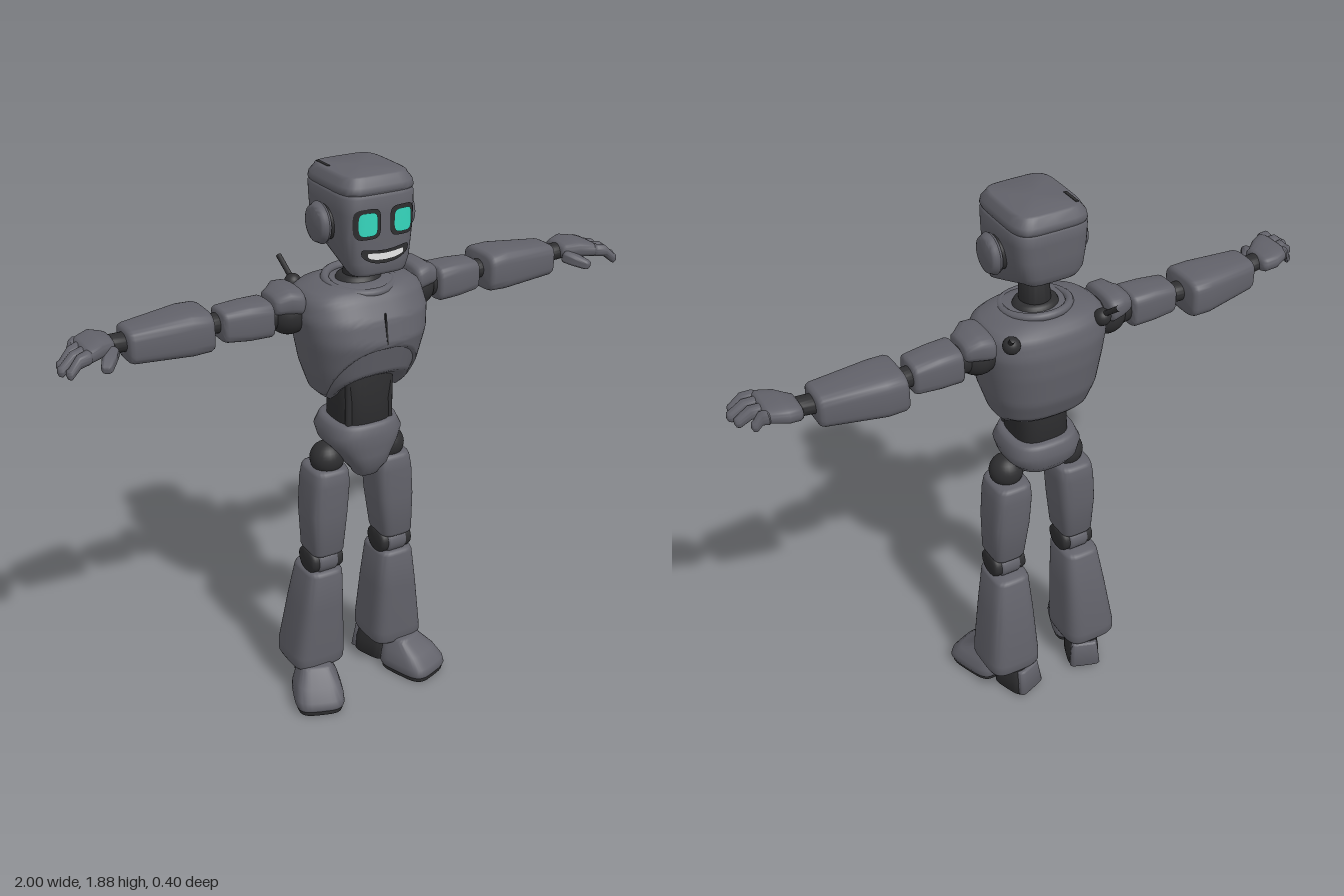
import * as THREE from 'three';
import { toCreasedNormals } from 'three/addons/utils/BufferGeometryUtils.js';

const mat = (name, color) => Object.assign(new THREE.MeshStandardMaterial({ color }), { name });

// Closed skin over a grid of rings; point(i, phi) gives ring i at angle phi, phi = 0 facing the front
function skin(rings, point, flip = false, segs = 36) {
  const pos = [], idx = [];
  for (let i = 0; i < rings; i++)
    for (let j = 0; j < segs; j++) pos.push(...point(i, (j / segs) * Math.PI * 2));
  const tri = (a, b, c) => (flip ? idx.push(a, c, b) : idx.push(a, b, c));
  for (let i = 0; i < rings - 1; i++)
    for (let j = 0; j < segs; j++) {
      const k = (j + 1) % segs, a = i * segs + j, b = i * segs + k;
      tri(a, b, b + segs);
      tri(a, b + segs, a + segs);
    }
  for (const end of [0, rings - 1]) {
    const c = [0, 0, 0];
    for (let j = 0; j < segs; j++)
      for (let k = 0; k < 3; k++) c[k] += pos[(end * segs + j) * 3 + k] / segs;
    const n = pos.length / 3;
    pos.push(...c);
    for (let j = 0; j < segs; j++) {
      const a = end * segs + j, b = end * segs + (j + 1) % segs;
      end ? tri(n, a, b) : tri(n, b, a);
    }
  }
  const g = new THREE.BufferGeometry();
  g.setAttribute('position', new THREE.Float32BufferAttribute(pos, 3));
  g.setIndex(idx);
  return toCreasedNormals(g, 0.9);
}

const power = (v, n) => Math.sign(v) * Math.abs(v) ** (2 / n);

// Rounded loft; rows are [t, centreU, centreV, halfU, halfV] along y (u = x) or along x (u = y)
function loft(rows, { axis = 'y', n = 4, bevel = 0.015, warp = p => p } = {}) {
  const round = (r, dir) => [[0, 1], [0.3, 0.3], [1, 0]].map(([d, s]) =>
    [r[0] + dir * d * bevel, r[1], r[2], r[3] - s * bevel, r[4] - s * bevel]);
  const all = [...round(rows[0], 1), ...rows.slice(1, -1), ...round(rows[rows.length - 1], -1).reverse()];
  return skin(all.length, (i, phi) => {
    const [t, cu, cv, hu, hv] = all[i];
    const u = cu + hu * power(Math.sin(phi), n), v = cv + hv * power(Math.cos(phi), n);
    return axis === 'y' ? warp([u, t, v]) : warp([t, u, v]);
  }, axis === 'x');
}

// Mirror image across x = 0 with the corner order restored
function mirrored(geo) {
  const g = (geo.index ? geo.toNonIndexed() : geo.clone()).scale(-1, 1, 1);
  for (const key of ['position', 'normal']) {
    const a = g.attributes[key].array;
    for (let i = 0; i < a.length; i += 9)
      for (let k = 0; k < 3; k++) [a[i + 3 + k], a[i + 6 + k]] = [a[i + 6 + k], a[i + 3 + k]];
  }
  return g;
}

// Torso profile rows: [y, centreZ, halfX, halfZ]
const chest = [[1.13, 0.01, 0.14, 0.105], [1.17, 0.01, 0.16, 0.13], [1.25, 0.01, 0.185, 0.162],
  [1.36, 0.018, 0.207, 0.182], [1.43, 0.01, 0.218, 0.174], [1.49, 0, 0.208, 0.148], [1.515, 0, 0.175, 0.125], [1.525, 0, 0.12, 0.09]];
function chestAt(y) {
  const i = Math.max(1, chest.findIndex(r => r[0] >= y - 1e-6));
  const a = chest[i - 1], b = chest[i], t = (y - a[0]) / (b[0] - a[0]);
  return a.map((v, k) => v + (b[k] - v) * t);
}
// Torso shell whose lower rim arches up at the front
function shell(arch, inset) {
  return skin(25, (i, phi) => {
    const a = Math.min(phi, Math.PI * 2 - phi);
    const rim = 1.15 + arch * Math.max(0, Math.cos(Math.min(a * 1.25, Math.PI / 2))) + 0.015 * (a > 2 ? 1 : 0);
    const y = rim + (1.525 - rim) * Math.min(1, i / 24);
    const [, cz, hx, hz] = chestAt(y);
    const s = inset + (i === 0 ? 0.012 : 0);
    return [(hx - s) * power(Math.sin(phi), 2.6), y - inset, cz + (hz - s) * power(Math.cos(phi), 2.6)];
  }, false, 56);
}

// Thin patch that follows the curved face
function facePatch(cx, cy, hx, hy, off, n = 4, smile = 0) {
  const g = new THREE.RingGeometry(0.001, 1, 32, 6), p = g.attributes.position;
  for (let i = 0; i < p.count; i++) {
    const r = Math.hypot(p.getX(i), p.getY(i)), a = Math.atan2(p.getY(i), p.getX(i));
    const x = cx + hx * r * power(Math.cos(a), n);
    const y = cy + hy * r * power(Math.sin(a), n) + smile * x * x;
    p.setXYZ(i, x, y, 0.027 + 0.147 * (1 - Math.abs(x / 0.122) ** 5) ** 0.2 + off);
  }
  g.computeVertexNormals();
  return g;
}

export function createModel() {
  const model = new THREE.Group();
  model.name = 'robot';
  const grey = mat('shell grey', 0x62626a), dark = mat('joint charcoal', 0x2e2e30);
  const teal = mat('eye teal', 0x35d6bd), white = mat('teeth white', 0xf0f0f0);
  const add = (name, geo, material) => {
    const m = new THREE.Mesh(geo, material);
    m.name = name;
    model.add(m);
    return m;
  };
  const pair = (name, geo, material) => {
    add(name + 'Left', geo, material);
    add(name + 'Right', mirrored(geo), material);
  };
  const ball = (r, x, y, z) => new THREE.SphereGeometry(r, 24, 16).translate(x, y, z);

  // Head: jaw rises toward the back, crown sits above a groove
  const jaw = ([x, y, z]) => [x, y + ((1.835 - y) / 0.26) * 0.08 * THREE.MathUtils.clamp((0.13 - z) / 0.2, 0, 1), z];
  add('head', loft([[1.575, 0, 0.03, 0.1, 0.143], [1.62, 0, 0.027, 0.112, 0.147], [1.7, 0, 0.027, 0.122, 0.147],
    [1.77, 0, 0.027, 0.126, 0.147], [1.835, 0, 0.027, 0.127, 0.147]], { n: 5, warp: jaw }), grey);
  add('crown', loft([[1.828, 0, 0.027, 0.127, 0.147], [1.855, 0, 0.027, 0.124, 0.143], [1.882, 0, 0.027, 0.112, 0.13]],
    { n: 5, bevel: 0.01 }), grey);
  add('crownSlot', new THREE.BoxGeometry(0.01, 0.008, 0.07).translate(-0.09, 1.88, -0.04), dark);
  pair('earBase', loft([[0.11, 1.725, 0.03, 0.055, 0.055], [0.14, 1.725, 0.03, 0.055, 0.055]], { axis: 'x', n: 2, bevel: 0.004 }), dark);
  pair('ear', loft([[0.132, 1.725, 0.03, 0.066, 0.066], [0.166, 1.725, 0.03, 0.06, 0.06]], { axis: 'x', n: 2, bevel: 0.012 }), grey);
  pair('eyeSocket', facePatch(0.06, 1.745, 0.044, 0.047, 0.004), dark);
  pair('eye', facePatch(0.06, 1.745, 0.031, 0.036, 0.008), teal);
  add('mouth', facePatch(0, 1.638, 0.082, 0.021, 0.004, 3, 3), dark);
  add('teeth', facePatch(0, 1.64, 0.062, 0.01, 0.007, 4, 2.5), white);

  // Neck
  add('neck', loft([[1.5, 0, 0.015, 0.052, 0.052], [1.66, 0, 0.03, 0.046, 0.046]], { n: 2, bevel: 0.005 }), dark);
  add('neckBase', loft([[1.48, 0, 0.025, 0.11, 0.095], [1.54, 0, 0.015, 0.075, 0.065]], { n: 2 }), dark);
  add('collar', new THREE.TorusGeometry(0.108, 0.014, 10, 40).rotateX(Math.PI / 2 + 0.12).translate(0, 1.518, 0.02), grey);

  // Torso, waist and pelvis
  add('chestShell', shell(0.185, 0), grey);
  add('ribShell', shell(0.1, 0.012), grey);
  add('chestSeam', new THREE.BoxGeometry(0.005, 0.1, 0.006).rotateX(-0.16).translate(0, 1.405, 0.19), dark);
  add('waist', loft([[1.02, 0, 0.015, 0.095, 0.095], [1.12, 0, 0.015, 0.09, 0.095], [1.35, 0, 0.015, 0.12, 0.11]], { n: 3 }), dark);
  pair('waistStrut', new THREE.CylinderGeometry(0.012, 0.012, 0.2, 10).translate(0.075, 1.12, 0.085), dark);
  add('pelvis', loft([[0.853, 0, 0.06, 0.045, 0.045], [0.9, 0, 0.045, 0.07, 0.085], [0.94, 0, 0.02, 0.098, 0.113],
    [0.97, 0, 0.01, 0.122, 0.124], [1.01, 0, 0.01, 0.135, 0.126], [1.052, 0, 0.01, 0.122, 0.118]], { n: 2.8 }), grey);

  // Shoulder spikes
  const spike = (tip, base) => new THREE.TubeGeometry(new THREE.LineCurve3(new THREE.Vector3(...base), new THREE.Vector3(...tip)), 2, 0.009, 8);
  pair('shoulderSocket', ball(0.028, 0.16, 1.49, -0.12), dark);
  add('spikeRight', spike([-0.17, 1.558, -0.195], [-0.16, 1.49, -0.11]), dark);
  add('spikeLeft', spike([0.185, 1.55, -0.175], [0.16, 1.49, -0.11]), dark);

  // Arms
  const arm = (name, rows, material, n = 4, bevel = 0.015) => pair(name, loft(rows, { axis: 'x', n, bevel }), material);
  pair('shoulderJoint', ball(0.07, 0.23, 1.435, -0.025), dark);
  arm('shoulderRod', [[0.25, 1.435, -0.03, 0.05, 0.05], [0.32, 1.435, -0.03, 0.045, 0.045]], dark, 2);
  arm('shoulderCap', [[0.2, 1.48, -0.03, 0.045, 0.085], [0.25, 1.485, -0.03, 0.044, 0.08], [0.295, 1.475, -0.03, 0.035, 0.06]], grey, 3);
  arm('upperArm', [[0.3, 1.437, -0.028, 0.058, 0.066], [0.38, 1.437, -0.03, 0.058, 0.063], [0.465, 1.438, -0.033, 0.052, 0.057]], grey, 4, 0.012);
  arm('elbow', [[0.45, 1.44, -0.042, 0.032, 0.034], [0.53, 1.44, -0.045, 0.032, 0.034]], dark, 2, 0.005);
  arm('forearm', [[0.5, 1.437, -0.048, 0.066, 0.088], [0.57, 1.437, -0.048, 0.069, 0.086], [0.77, 1.438, -0.035, 0.055, 0.064]], grey);
  arm('wrist', [[0.755, 1.445, -0.035, 0.03, 0.034], [0.84, 1.45, -0.03, 0.028, 0.032]], dark, 2, 0.005);
  arm('palm', [[0.81, 1.455, -0.035, 0.028, 0.055], [0.86, 1.463, -0.025, 0.03, 0.073], [0.92, 1.462, 0, 0.026, 0.075]], grey, 3);
  [[-0.055, -0.035, 0.955], [-0.015, 0.008, 0.99], [0.025, 0.045, 1.0], [0.06, 0.078, 0.985]].forEach(([z0, z1, tip], k) => {
    arm('finger' + (k + 1), [[0.9, 1.462, z0, 0.021, 0.02], [(0.9 + tip) / 2, 1.458, (z0 + z1) / 2, 0.02, 0.019],
      [tip, 1.43, z1, 0.017, 0.017]], grey, 2.5, 0.012);
  });
  pair('thumb', loft([[-0.05, 0, 0, 0.024, 0.022], [0, 0, 0, 0.022, 0.02], [0.05, 0, 0, 0.018, 0.016]], { n: 2.5, bevel: 0.012 })
    .rotateX(1.8).rotateY(0.55).translate(0.845, 1.432, 0.047), grey);

  // Legs
  pair('hipJoint', ball(0.058, 0.115, 0.912, 0.01), dark);
  pair('thigh', loft([[0.565, 0.135, 0.005, 0.06, 0.068], [0.72, 0.128, 0, 0.069, 0.078], [0.83, 0.12, 0, 0.069, 0.08],
    [0.885, 0.118, 0, 0.064, 0.076]], { n: 4 }), grey);
  arm('kneeAxle', [[0.075, 0.535, 0, 0.048, 0.055], [0.197, 0.535, 0, 0.048, 0.055]], dark, 2, 0.012);
  arm('kneeBand', [[0.1, 0.535, 0, 0.053, 0.06], [0.172, 0.535, 0, 0.053, 0.06]], grey, 2, 0.008);
  pair('shin', loft([[0.11, 0.158, -0.045, 0.098, 0.102], [0.16, 0.157, -0.045, 0.097, 0.104], [0.35, 0.147, -0.027, 0.08, 0.092],
    [0.5, 0.14, -0.014, 0.066, 0.08]], { n: 4 }), grey);

  // Feet, splayed outward
  const foot = (name, rows, material, bevel) =>
    pair(name, loft(rows, { n: 4, bevel }).rotateY(0.35).translate(0.165, 0, -0.01), material);
  foot('toeSole', [[0, 0, 0.088, 0.08, 0.098], [0.025, 0, 0.088, 0.082, 0.1]], dark, 0.003);
  foot('toeCap', [[0.014, 0, 0.088, 0.087, 0.104], [0.05, 0, 0.085, 0.085, 0.1], [0.085, 0, 0.068, 0.074, 0.08],
    [0.128, 0, 0.042, 0.056, 0.05]], grey, 0.012);
  foot('heel', [[0, 0, -0.08, 0.058, 0.07], [0.06, 0, -0.078, 0.058, 0.068], [0.13, 0, -0.07, 0.05, 0.06]], dark, 0.008);
  foot('heelPlate', [[0.012, 0, -0.145, 0.055, 0.015], [0.11, 0, -0.132, 0.046, 0.015]], grey, 0.005);
  return model;
}
